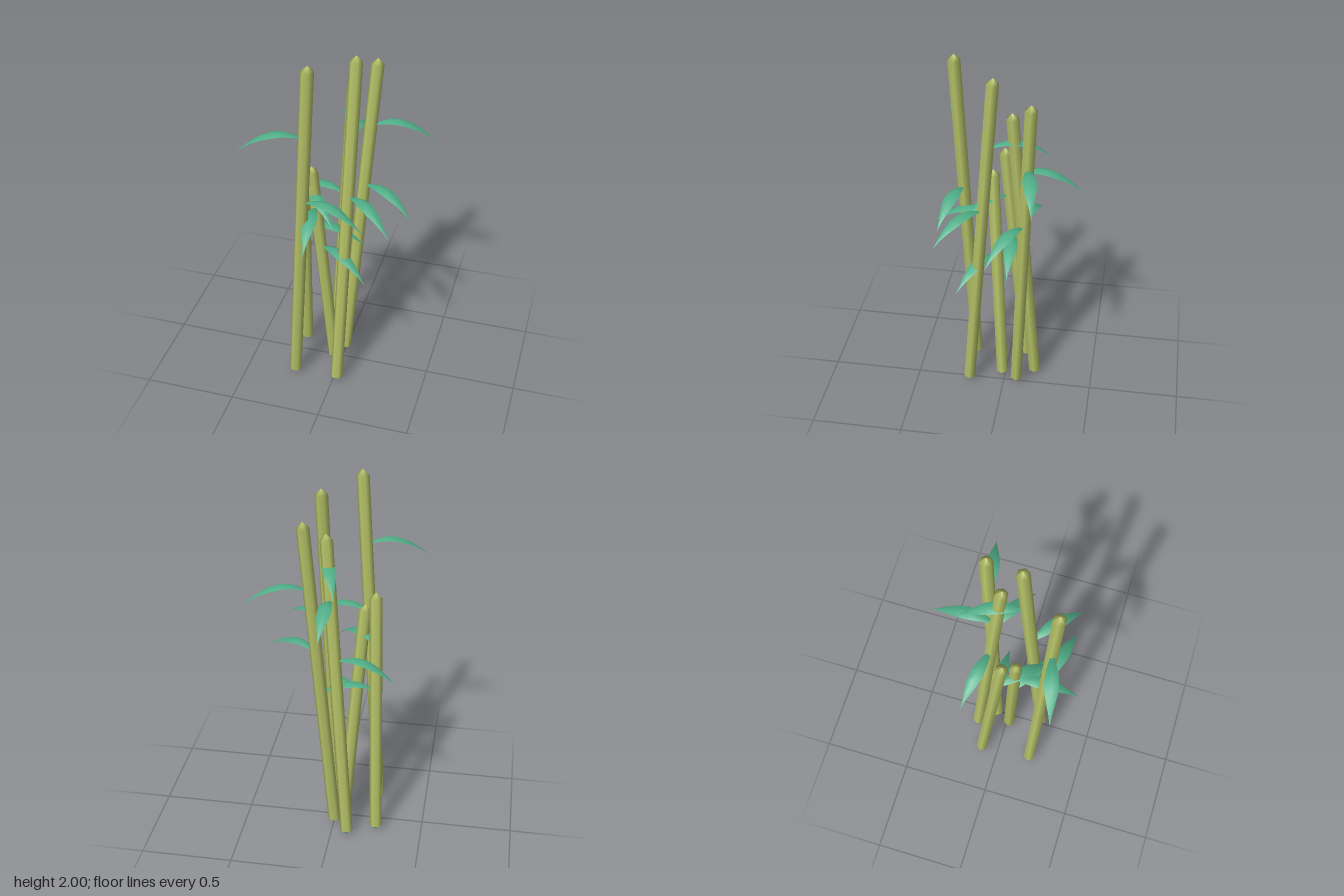
import * as THREE from 'three';

const stemMaterial = new THREE.MeshStandardMaterial({ color: 0xb9c569 });
const leafMaterial = new THREE.MeshStandardMaterial({ color: 0x4fae87, side: THREE.DoubleSide });
stemMaterial.name = 'stem yellow green';
leafMaterial.name = 'leaf green';

// Each stem: base point, top point, and its leaves as tip points
const STEMS = [
  { base: [-0.225, 0, 0.195], top: [-0.095, 2, 0.265], leaves: [[-0.45, 1.52, 0.335], [0.19, 1.135, 0.32]] },
  { base: [0.02, 0, 0.2], top: [0.08, 1.97, 0.04], leaves: [[-0.03, 1.5, -0.255], [0.325, 1.12, 0.315]] },
  { base: [-0.005, 0, -0.07], top: [0.14, 1.87, -0.155], leaves: [[0.445, 1.42, -0.2], [0.38, 1.06, 0.04]] },
  { base: [-0.09, 0, -0.17], top: [0.042, 1.77, -0.048], leaves: [[0.025, 1.34, -0.415], [-0.34, 1, -0.165]] },
  { base: [-0.245, 0, -0.1], top: [-0.205, 1.43, 0.025], leaves: [[0.12, 0.8, -0.03], [0.02, 1.06, 0.24]] },
  { base: [-0.045, 0, 0.015], top: [-0.145, 1.33, 0.08], leaves: [[-0.095, 1, 0.41], [0.185, 0.74, 0.23]] },
];
const TIP_DROP = 0.075;

// Leaf stations: distance along, height, half width
const LEAF = [
  [0, 0, 0.006], [0.15, 0.023, 0.018], [0.3, 0.037, 0.03], [0.45, 0.036, 0.036],
  [0.6, 0.02, 0.032], [0.75, -0.008, 0.02], [0.88, -0.042, 0.008], [1, -TIP_DROP, 0.0005],
];

// Six-sided cane with a pointed top and a green root point
function makeStem(base, top) {
  const axis = top.clone().sub(base);
  const length = axis.length(), r = 0.034;
  const profile = [[0, 0], [r, 0.028], [r, length - 0.032], [0, length]];
  const geometry = new THREE.LatheGeometry(profile.map(p => new THREE.Vector2(...p)), 6, Math.PI / 6);
  for (let i = 0; i < 6; i++) {
    geometry.addGroup(i * 18, 6, 0);
    geometry.addGroup(i * 18 + 6, 12, 1);
  }
  const mesh = new THREE.Mesh(geometry, [leafMaterial, stemMaterial]);
  mesh.name = 'stem';
  mesh.position.copy(base);
  mesh.quaternion.setFromUnitVectors(new THREE.Vector3(0, 1, 0), axis.normalize());
  return mesh;
}

// Arching pointed blade with a raised midrib
function makeLeaf(start, tip) {
  const dx = tip.x - start.x, dz = tip.z - start.z;
  const length = Math.hypot(dx, dz);
  const positions = [], index = [];
  LEAF.forEach(([t, y, w], i) => {
    for (const side of [-1, 0, 1]) positions.push(side * w, y - Math.abs(side) * w * 0.4, t * length);
    if (i === 0) return;
    for (const k of [0, 1]) {
      const a = (i - 1) * 3 + k, b = a + 3;
      index.push(a, b, a + 1, a + 1, b, b + 1);
    }
  });
  const geometry = new THREE.BufferGeometry();
  geometry.setAttribute('position', new THREE.Float32BufferAttribute(positions, 3));
  geometry.setIndex(index);
  geometry.computeVertexNormals();
  const mesh = new THREE.Mesh(geometry, leafMaterial);
  mesh.name = 'leaf';
  mesh.position.copy(start);
  mesh.rotation.y = Math.atan2(dx, dz);
  return mesh;
}

export function createModel() {
  const model = new THREE.Group();
  model.name = 'caneClump';
  for (const { base, top, leaves } of STEMS) {
    const a = new THREE.Vector3(...base), b = new THREE.Vector3(...top);
    const cane = new THREE.Group();
    cane.name = 'cane';
    cane.add(makeStem(a, b));
    for (const point of leaves) {
      const tip = new THREE.Vector3(...point);
      // Leaf springs from the stem axis, a little above its tip height
      const start = a.clone().lerp(b, (tip.y + TIP_DROP) / b.y);
      cane.add(makeLeaf(start, tip));
    }
    model.add(cane);
  }
  return model;
}
